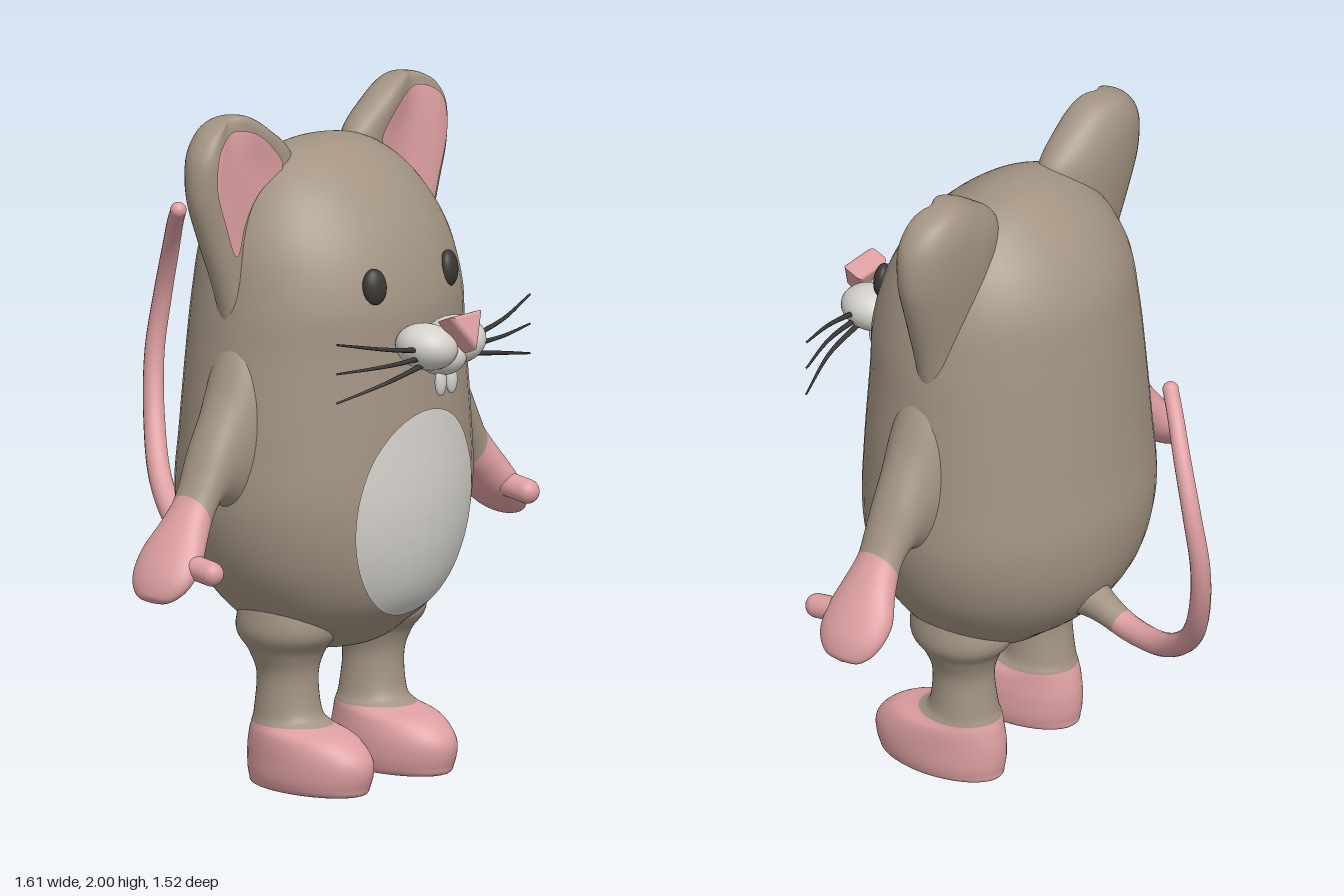
import * as THREE from 'three';

const mat = (name, color) => Object.assign(new THREE.MeshStandardMaterial({ color }), { name });
const V = (x, y, z) => new THREE.Vector3(x, y, z);

// Joins closed rings of points into one smooth skin; rows before `cut` take material group 0.
function skin(rings, cut) {
  const n = rings[0].length, pos = [], idx = [];
  rings.forEach((ring) => ring.forEach((p) => pos.push(p.x, p.y, p.z)));
  for (let i = 0; i < rings.length - 1; i++) {
    for (let j = 0; j < n; j++) {
      const k = (j + 1) % n, a = i * n + j, b = a + n, c = i * n + k, d = c + n;
      idx.push(a, b, c, b, d, c);
    }
  }
  const g = new THREE.BufferGeometry();
  g.setAttribute('position', new THREE.Float32BufferAttribute(pos, 3));
  g.setIndex(idx);
  g.computeVertexNormals();
  if (cut) {
    g.addGroup(0, cut * n * 6, 0);
    g.addGroup(cut * n * 6, idx.length - cut * n * 6, 1);
  }
  return g;
}

// Oval cross-sections [px, py, qx, qy, zBack, zFront], blended smoothly along the part.
const STEPS = 7;
function loft(sections, cut = 0, dish = 0) {
  const P = new THREE.CatmullRomCurve3(sections.map((s) => V(s[0], s[1], s[4])), false, 'catmullrom', 0.5);
  const Q = new THREE.CatmullRomCurve3(sections.map((s) => V(s[2], s[3], s[5])), false, 'catmullrom', 0.5);
  const rows = (sections.length - 1) * STEPS, rings = [];
  for (let i = 0; i <= rows; i++) {
    const p = P.getPoint(i / rows), q = Q.getPoint(i / rows), ring = [];
    for (let j = 0; j < 48; j++) {
      const a = (j / 48) * Math.PI * 2, c = Math.cos(a) / 2;
      let s = Math.sin(a);
      if (s > 0) s -= dish * s ** 4;
      ring.push(V((p.x + q.x) / 2 + (q.x - p.x) * c,
        Math.max(0, (p.y + q.y) / 2 + (q.y - p.y) * c),
        (p.z + q.z) / 2 + ((q.z - p.z) / 2) * s));
    }
    rings.push(ring);
  }
  return skin(rings, cut * STEPS);
}
const mirrored = (sections, side) => (side > 0 ? sections
  : sections.map(([px, py, qx, qy, b, f]) => [-qx, qy, -px, py, b, f]));

// Thin patch with a curved outline, laid on the front of a target mesh.
function drape(target, outline, cx, cy, lift) {
  const curve = new THREE.CatmullRomCurve3(outline.map(([x, y]) => V(x, y, 0)), true);
  const edge = curve.getPoints(64).slice(0, 64), rings = [], ray = new THREE.Raycaster();
  let z = 0;
  for (let r = 0; r <= 10; r++) {
    rings.push(edge.map((p) => {
      const x = cx + ((p.x - cx) * r) / 10, y = cy + ((p.y - cy) * r) / 10;
      ray.set(V(x, y, 3), V(0, 0, -1));
      const hit = ray.intersectObject(target)[0];
      if (hit) z = hit.point.z + lift;
      return V(x, y, z);
    }));
  }
  return skin(rings);
}

// Tube along points whose radius follows a function of 0..1.
function taperTube(points, n, sides, radius) {
  const curve = new THREE.CatmullRomCurve3(points.map((p) => V(...p)));
  const g = new THREE.TubeGeometry(curve, n, 1, sides), pos = g.attributes.position, v = V();
  for (let i = 0; i <= n; i++) {
    const c = curve.getPointAt(i / n), r = radius(i / n);
    for (let j = 0; j <= sides; j++) {
      const k = i * (sides + 1) + j;
      v.fromBufferAttribute(pos, k).sub(c).multiplyScalar(r).add(c);
      pos.setXYZ(k, v.x, v.y, v.z);
    }
  }
  return g;
}

export function createModel() {
  const root = new THREE.Group();
  const fur = mat('fur', 0xa39483), pink = mat('pink skin', 0xdd9fa1);
  const white = mat('pale fur', 0xd5d2cc), dark = mat('dark', 0x3a3835);
  const add = (name, geo, material) => {
    const m = new THREE.Mesh(geo, material);
    m.name = name;
    root.add(m);
    return m;
  };
  const ball = (name, material, c, r, rot = [0, 0, 0]) => {
    const m = add(name, new THREE.SphereGeometry(1, 32, 20), material);
    m.position.set(...c);
    m.scale.set(...r);
    m.rotation.set(...rot);
    return m;
  };

  // Body and head: [y, half width, back z, front z]
  const body = add('body', loft([
    [0.385, 0, 0.2, 0.2], [0.405, 0.15, 0.08, 0.33], [0.46, 0.25, 0, 0.41], [0.55, 0.34, -0.11, 0.505],
    [0.68, 0.425, -0.19, 0.555], [0.85, 0.47, -0.22, 0.575], [1.05, 0.462, -0.205, 0.57],
    [1.3, 0.44, -0.185, 0.555], [1.45, 0.425, -0.17, 0.55], [1.6, 0.395, -0.145, 0.505],
    [1.72, 0.335, -0.085, 0.43], [1.81, 0.25, 0, 0.34], [1.865, 0.14, 0.08, 0.25], [1.88, 0, 0.17, 0.17],
  ].map(([y, w, b, f]) => [-w, y, w, y, b, f])), fur);

  // Belly patch
  const oval = [...Array(16)].map((_, i) => {
    const a = (i / 16) * Math.PI * 2;
    return [0.255 * Math.cos(a), 0.82 + 0.31 * Math.sin(a)];
  });
  add('belly', drape(body, oval, 0, 0.82, 0.009), white);

  // Limb sections for the +x side
  const leg = [
    [0, 0.185, 0.185, 0.27, 0.27], [0, 0.09, 0.28, 0.1, 0.455], [0.03, 0.065, 0.305, 0.075, 0.49],
    [0.1, 0.06, 0.31, 0.07, 0.498], [0.16, 0.068, 0.305, 0.08, 0.44], [0.19, 0.08, 0.29, 0.09, 0.345],
    [0.225, 0.095, 0.28, 0.1, 0.305], [0.33, 0.105, 0.275, 0.11, 0.295], [0.4, 0.085, 0.3, 0.09, 0.315],
    [0.47, 0.05, 0.335, 0.05, 0.36], [0.6, 0.06, 0.32, 0.08, 0.34],
  ].map(([y, l, r, b, f]) => [l, y, r, y, b, f]);
  const arm = [
    [0.33, 1.42, 0.33, 0.85, 0.08, 0.3], [0.42, 1.35, 0.42, 0.85, 0.09, 0.3], [0.495, 1.2, 0.485, 0.875, 0.11, 0.285],
    [0.56, 1.085, 0.53, 0.88, 0.12, 0.275], [0.605, 0.995, 0.56, 0.855, 0.13, 0.27],
    [0.64, 0.93, 0.585, 0.81, 0.13, 0.27], [0.685, 0.868, 0.615, 0.77, 0.115, 0.285],
    [0.74, 0.795, 0.66, 0.71, 0.09, 0.305], [0.785, 0.725, 0.72, 0.66, 0.1, 0.3],
    [0.803, 0.665, 0.765, 0.637, 0.14, 0.26], [0.79, 0.64, 0.79, 0.64, 0.2, 0.2],
  ];
  const ear = [
    [0.18, 1.45, 0.415, 1.36, 0.1, 0.24], [0.14, 1.6, 0.455, 1.5, 0.08, 0.25], [0.11, 1.73, 0.51, 1.65, 0.06, 0.25],
    [0.14, 1.86, 0.548, 1.77, 0.05, 0.25], [0.235, 1.94, 0.546, 1.88, 0.055, 0.245],
    [0.305, 1.983, 0.505, 1.95, 0.075, 0.225], [0.355, 1.998, 0.45, 1.985, 0.105, 0.195], [0.405, 1.998, 0.405, 1.998, 0.15, 0.15],
  ];
  const innerEar = [[0.43, 1.6], [0.475, 1.7], [0.51, 1.82], [0.49, 1.92], [0.42, 1.96],
    [0.34, 1.95], [0.26, 1.89], [0.22, 1.83], [0.3, 1.77], [0.38, 1.68]];

  for (const s of [1, -1]) {
    const side = s > 0 ? 'left' : 'right';
    add(side + 'LegAndFoot', loft(mirrored(leg, s), 5), [pink, fur]);
    add(side + 'ArmAndHand', loft(mirrored(arm, s), 5), [fur, pink]);
    const thumb = add(side + 'Thumb', new THREE.CapsuleGeometry(0.036, 0.1, 8, 20), pink);
    thumb.position.set(s * 0.7, 0.74, 0.3);
    thumb.rotation.x = Math.PI / 2 + 0.15;

    // Dished ear with pink lining
    const earMesh = add(side + 'Ear', loft(mirrored(ear, s), 0, 0.65), fur);
    const outline = s > 0 ? innerEar : innerEar.map(([x, y]) => [-x, y]).reverse();
    add(side + 'InnerEar', drape(earMesh, outline, s * 0.4, 1.82, 0.008), pink);

    // Face
    ball(side + 'Eye', dark, [s * 0.165, 1.51, 0.51], [0.038, 0.053, 0.025], [-0.1, s * 0.35, 0]);
    ball(side + 'Cheek', white, [s * 0.063, 1.333, 0.62], [0.085, 0.068, 0.095], [0, 0, s * 0.25]);
    ball(side + 'Tooth', white, [s * 0.024, 1.225, 0.64], [0.021, 0.042, 0.014]);
    for (const k of [-1, 0, 1]) {
      add(side + 'Whisker', taperTube([
        [s * 0.08, 1.31 + k * 0.018, 0.64], [s * 0.25, 1.31 + k * 0.048, 0.635], [s * 0.43, 1.31 + k * 0.087, 0.59],
      ], 14, 8, (t) => 0.009 - 0.006 * t), dark);
    }
  }
  ball('chin', white, [0, 1.3, 0.62], [0.07, 0.06, 0.08]);

  // Nose: rounded triangle tilted upwards
  const tri = new THREE.Shape([[-0.05, 0.035], [0, -0.04], [0.05, 0.035]].map(([x, y]) => new THREE.Vector2(x, y)));
  const noseGeo = new THREE.ExtrudeGeometry(tri, { depth: 0.035, bevelSize: 0.016, bevelThickness: 0.016, bevelSegments: 5 });
  const nose = add('nose', noseGeo, pink);
  nose.position.set(0, 1.375, 0.692);
  nose.rotation.x = -0.4;

  // Tail: short furry root, then pink up to a round tip
  const tail = taperTube([
    [0.03, 0.63, -0.1], [0.045, 0.6, -0.2], [0.06, 0.575, -0.3], [0.11, 0.6, -0.45], [0.19, 0.71, -0.6], [0.27, 0.87, -0.695],
    [0.315, 1.05, -0.732], [0.325, 1.22, -0.71], [0.29, 1.37, -0.65], [0.235, 1.47, -0.585], [0.19, 1.52, -0.535],
  ], 90, 16, (t) => 0.04 - 0.017 * t + 0.06 * Math.exp(-t * 30));
  tail.addGroup(0, 10 * 16 * 6, 0);
  tail.addGroup(10 * 16 * 6, 80 * 16 * 6, 1);
  add('tail', tail, [fur, pink]);
  ball('tailTip', pink, [0.19, 1.52, -0.535], [0.0235, 0.0235, 0.0235]);

  return root;
}
